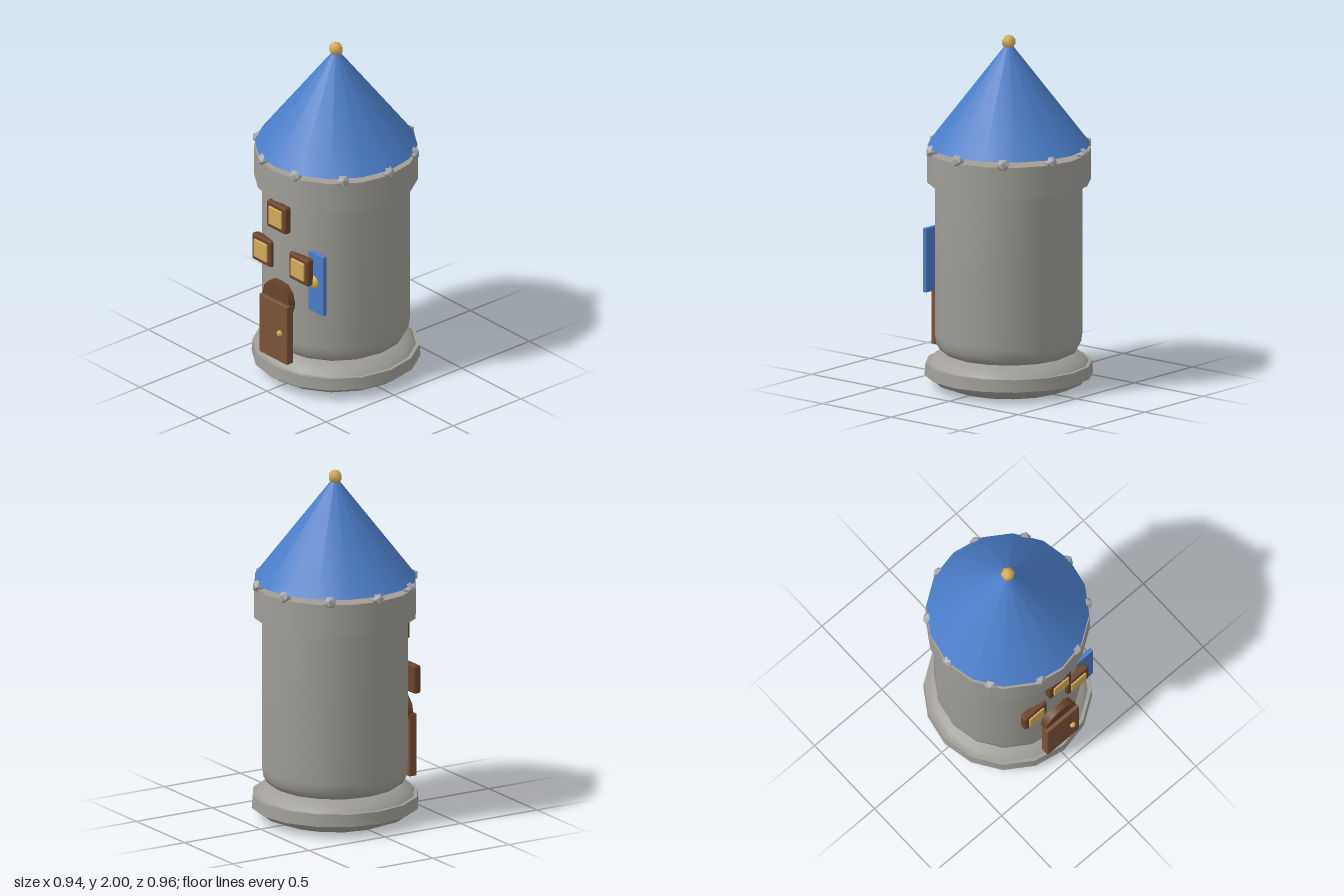
import * as THREE from 'three';
import { toCreasedNormals } from 'three/addons/utils/BufferGeometryUtils.js';
import { RoundedBoxGeometry } from 'three/addons/geometries/RoundedBoxGeometry.js';

const SIDES = 16;
const AXIS_Z = -0.01; // tower axis

function material(name, color) {
  const m = new THREE.MeshStandardMaterial({ color });
  m.name = name;
  return m;
}

export function createModel() {
  const stone = material('stone', 0xa09e97);
  const paleStone = material('paleStone', 0xa8a8a8);
  const blue = material('blue', 0x4a7cc7);
  const wood = material('wood', 0x7a5238);
  const darkWood = material('darkWood', 0x6a442b);
  const gold = material('gold', 0xd4ab58);

  const model = new THREE.Group();
  model.name = 'tower';

  function add(parent, name, geometry, mat, x, y, z) {
    const mesh = new THREE.Mesh(geometry, mat);
    mesh.name = name;
    mesh.position.set(x, y, z);
    parent.add(mesh);
    return mesh;
  }

  function lathe(points, crease) {
    const profile = points.map(([r, y]) => new THREE.Vector2(r, y));
    return toCreasedNormals(new THREE.LatheGeometry(profile, SIDES), crease);
  }

  // low ball with six sides and a corner facing the front
  function ball(r) {
    return new THREE.SphereGeometry(r, 6, 5).rotateY(Math.PI / 2);
  }

  // stepped foundation with a projecting band
  add(model, 'foundation', lathe([
    [0, 0], [0.33, 0], [0.42, 0.035], [0.445, 0.07], [0.47, 0.07],
    [0.465, 0.14], [0.445, 0.14], [0.425, 0.165], [0.35, 0.2], [0, 0.2],
  ], 0.7), stone, 0, 0, AXIS_Z);

  // tower wall, rounded at its foot
  add(model, 'wall', lathe([
    [0, 0.195], [0.35, 0.195], [0.385, 0.215], [0.404, 0.25],
    [0.411, 0.3], [0.411, 1.2],
  ], 0.7), stone, 0, 0, AXIS_Z);

  // crown under the roof
  add(model, 'crown', new THREE.CylinderGeometry(0.457, 0.457, 0.18, SIDES),
    stone, 0, 1.26, AXIS_Z);

  // small stones carrying the roof
  const stones = new THREE.Group();
  stones.name = 'crownStones';
  model.add(stones);
  for (let i = 0; i < 10; i++) {
    const a = THREE.MathUtils.degToRad(18 + 36 * i);
    const s = add(stones, 'crownStone', new THREE.IcosahedronGeometry(0.037, 0),
      paleStone, 0.44 * Math.sin(a), 1.362, AXIS_Z + 0.44 * Math.cos(a));
    s.rotation.y = a;
  }

  // roof and its finial
  add(model, 'roof', new THREE.ConeGeometry(0.454, 0.59, SIDES), blue, 0, 1.675, AXIS_Z);
  add(model, 'finial', ball(0.041), gold, 0, 1.962, AXIS_Z);

  // arched door with knob
  const door = new THREE.Group();
  door.name = 'door';
  model.add(door);
  add(door, 'doorPanel', new RoundedBoxGeometry(0.235, 0.36, 0.05, 1, 0.006),
    wood, 0, 0.37, 0.43);
  const arch = new THREE.CylinderGeometry(0.113, 0.113, 0.045, 12).rotateX(Math.PI / 2);
  add(door, 'doorArch', arch, darkWood, 0, 0.55, 0.412);
  add(door, 'doorKnob', ball(0.019), gold, 0.063, 0.37, 0.46);

  // framed windows
  for (const [x, y, z] of [[0, 1.06, 0.412], [-0.157, 0.785, 0.382], [0.155, 0.785, 0.382]]) {
    const w = new THREE.Group();
    w.name = 'window';
    w.position.set(x, y, z);
    model.add(w);
    add(w, 'windowFrame', new RoundedBoxGeometry(0.163, 0.163, 0.046, 1, 0.012), darkWood, 0, 0, 0);
    add(w, 'windowPane', new RoundedBoxGeometry(0.11, 0.11, 0.03, 1, 0.006), gold, 0, 0, 0.018);
  }

  // banner with a plain gold boss
  add(model, 'banner', new RoundedBoxGeometry(0.125, 0.366, 0.026, 1, 0.004),
    blue, 0.247, 0.717, 0.342);
  const boss = add(model, 'bannerBoss', new THREE.SphereGeometry(0.04, 8, 6), gold, 0.23, 0.72, 0.354);
  boss.scale.z = 0.45;

  return model;
}
